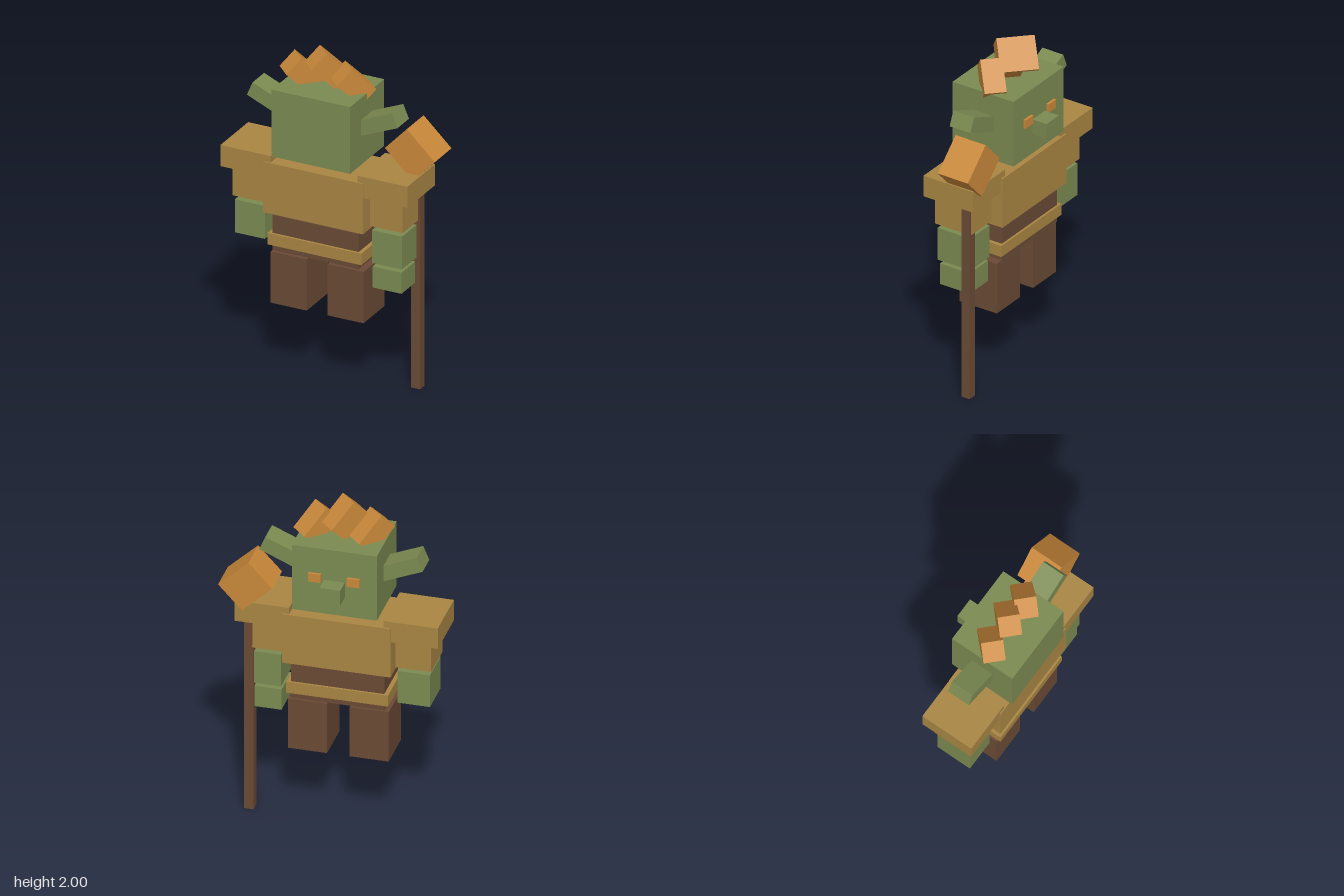
import * as THREE from 'three';

const mat = (name, color) => {
  const m = new THREE.MeshStandardMaterial({ color });
  m.name = name;
  return m;
};

export function createModel() {
  const model = new THREE.Group();
  model.name = 'blockyStaffBearer';
  const skin = mat('green skin', 0x7b8a51);
  const leather = mat('tan leather', 0xa98643);
  const cloth = mat('brown cloth', 0x6a4a35);
  const orange = mat('orange', 0xc9883a);
  const cx = -0.045; // body centreline

  // Box from its centre and size
  const block = (name, material, size, pos, rot) => {
    const mesh = new THREE.Mesh(new THREE.BoxGeometry(...size), material);
    mesh.name = name;
    mesh.position.set(...pos);
    if (rot) mesh.rotation.set(...rot);
    model.add(mesh);
    return mesh;
  };
  // Box from its limits on each axis
  const span = (name, material, [x0, x1], [y0, y1], [z0, z1]) =>
    block(name, material, [x1 - x0, y1 - y0, z1 - z0], [(x0 + x1) / 2, (y0 + y1) / 2, (z0 + z1) / 2]);

  // Head and nose (the face looks towards -z)
  span('head', skin, [-0.29, 0.2], [1.37, 1.78], [-0.16, 0.25]);
  span('nose', skin, [-0.105, 0.015], [1.49, 1.585], [-0.255, -0.15]);

  // Torso, waist and belt
  span('torso', leather, [-0.36, 0.265], [1.0, 1.31], [-0.13, 0.22]);
  span('waist', cloth, [-0.315, 0.223], [0.765, 0.98], [-0.097, 0.19]);
  span('belt', leather, [-0.34, 0.247], [0.8, 0.87], [-0.11, 0.205]);

  // Mirrored parts
  for (const [side, s] of [['left', 1], ['right', -1]]) {
    const pair = (name, material, xs, ys, zs) =>
      span(side + name, material, xs.map((x) => cx + s * x).sort((a, b) => a - b), ys, zs);
    pair('Eye', orange, [0.075, 0.148], [1.57, 1.622], [-0.176, -0.15]);
    pair('ShoulderPad', leather, [0.272, 0.585], [1.22, 1.35], [-0.12, 0.213]);
    pair('UpperArm', leather, [0.328, 0.532], [1.035, 1.22], [-0.07, 0.17]);
    pair('Forearm', skin, [0.335, 0.523], [0.805, 1.007], [-0.06, 0.16]);
    pair('Leg', cloth, [0.065, 0.29], [0.43, 0.745], [-0.078, 0.175]);
    block(side + 'Ear', skin, [0.3, 0.09, 0.14], [cx + s * 0.315, 1.626, 0.045], [0, 0, s * 0.4]);
  }

  // The hand that holds the staff
  span('leftHand', skin, [0.29, 0.47], [0.65, 0.78], [-0.05, 0.15]);

  // Tufts of hair, turned and tilted by 45 degrees
  for (const [dx, y] of [[-0.158, 1.822], [0, 1.885], [0.158, 1.822]]) {
    const tuft = block('hairTuft', orange, [0.125, 0.125, 0.2], [cx + dx, y, 0.045]);
    tuft.rotation.set(-Math.PI / 4, -Math.PI / 4, 0, 'YXZ');
  }

  // Staff with a tilted block on top
  span('staffPole', cloth, [0.445, 0.5], [0, 1.42], [-0.07, -0.015]);
  block('staffHead', orange, [0.2, 0.24, 0.203], [0.4725, 1.464, -0.046], [0, 0, 0.815]);

  return model;
}
